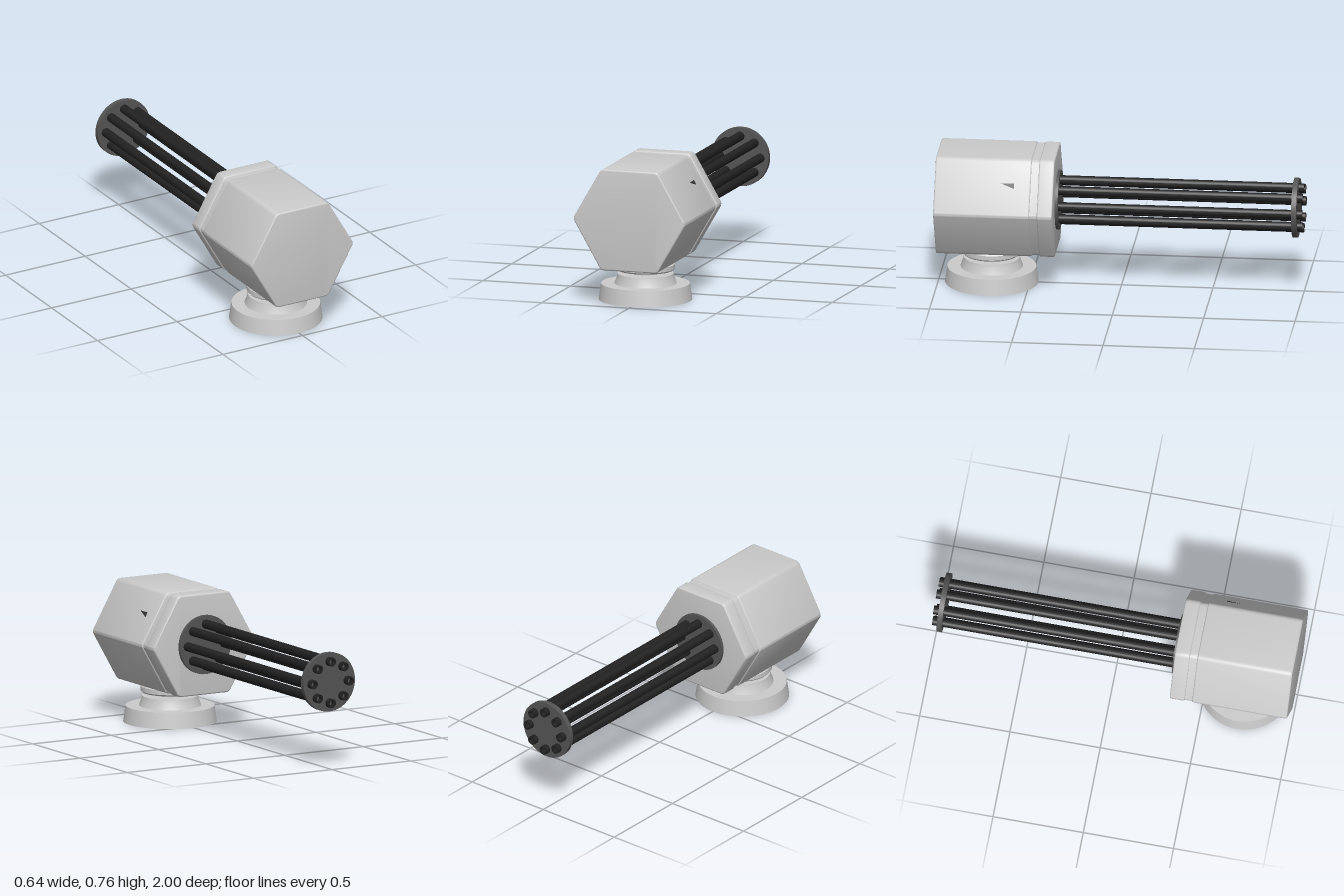
import * as THREE from 'three';
import { toCreasedNormals } from 'three/addons/utils/BufferGeometryUtils.js';

const AXIS_Y = 0.48; // height of the barrel axis
const BASE_Z = 0.71; // centre of the pedestal
const grey = new THREE.MeshStandardMaterial({ color: 0xcccccc });
const steel = new THREE.MeshStandardMaterial({ color: 0x555555 });
const black = new THREE.MeshStandardMaterial({ color: 0x222222 });
const blackThin = new THREE.MeshStandardMaterial({ color: 0x333333, side: THREE.DoubleSide });

function add(parent, name, geometry, material, x = 0, y = 0, z = 0) {
  const mesh = new THREE.Mesh(geometry, material);
  mesh.name = name;
  mesh.position.set(x, y, z);
  parent.add(mesh);
  return mesh;
}

// Hexagon with flat top and rounded corners
function hexagon(apothem, tangent = 0.02) {
  const R = apothem / Math.cos(Math.PI / 6);
  const corner = (i) => new THREE.Vector2(Math.cos(i * Math.PI / 3), Math.sin(i * Math.PI / 3)).multiplyScalar(R);
  const shape = new THREE.Shape();
  for (let i = 0; i < 6; i++) {
    const c = corner(i);
    const a = c.clone().lerp(corner(i - 1), tangent / R);
    const b = c.clone().lerp(corner(i + 1), tangent / R);
    if (i === 0) shape.moveTo(a.x, a.y);
    else shape.lineTo(a.x, a.y);
    shape.quadraticCurveTo(c.x, c.y, b.x, b.y);
  }
  shape.closePath();
  return shape;
}

// Hexagonal block between z0 and z1 with softly rounded ends
function hexBlock(apothem, z0, z1, bevel) {
  const geometry = new THREE.ExtrudeGeometry(hexagon(apothem), {
    depth: z1 - z0 - 2 * bevel, curveSegments: 5, bevelEnabled: bevel > 0,
    bevelSize: bevel, bevelThickness: bevel, bevelOffset: -bevel, bevelSegments: 3,
  });
  geometry.translate(0, 0, z0 + bevel);
  return toCreasedNormals(geometry, 0.6);
}

// Turned part from [radius, height] pairs
function turned(points, segments = 64) {
  const geometry = new THREE.LatheGeometry(points.map(([r, h]) => new THREE.Vector2(r, h)), segments);
  return toCreasedNormals(geometry, 0.5);
}

export function createModel() {
  const model = new THREE.Group();
  model.name = 'rotaryTurret';

  // Pedestal: flared foot, collar, neck and mounting plate
  const pedestal = new THREE.Group();
  pedestal.name = 'pedestal';
  pedestal.position.z = BASE_Z;
  model.add(pedestal);
  add(pedestal, 'foot', turned([[0, 0], [0.255, 0], [0.242, 0.088], [0, 0.088]]), grey);
  add(pedestal, 'collar', turned([[0.171, 0.086], [0.156, 0.125], [0.153, 0.143], [0, 0.143]]), grey);
  add(pedestal, 'neck', new THREE.CylinderGeometry(0.075, 0.075, 0.04, 48), grey, 0, 0.153, 0);
  add(pedestal, 'mountingPlate', turned([[0, 0.162], [0.153, 0.162], [0.161, 0.17], [0.161, 0.195], [0.154, 0.204], [0, 0.204]]), grey);

  // Housing: main block, recessed band and rear cap
  const housing = new THREE.Group();
  housing.name = 'housing';
  housing.position.y = AXIS_Y;
  model.add(housing);
  add(housing, 'housingBlock', hexBlock(0.28, 0.474, 1, 0.008), grey);
  add(housing, 'recessedBand', hexBlock(0.274, 0.42, 0.49, 0), grey);
  add(housing, 'rearCap', hexBlock(0.28, 0.35, 0.434, 0.008), grey);

  // Small wedge-shaped mark on the upper left panel
  const panelPoint = (y, z) => [0.3245 - y / Math.sqrt(3), y, z];
  const mark = new THREE.BufferGeometry();
  mark.setAttribute('position', new THREE.Float32BufferAttribute(
    [...panelPoint(0.164, 0.64), ...panelPoint(0.139, 0.565), ...panelPoint(0.164, 0.565)], 3));
  mark.computeVertexNormals();
  add(housing, 'panelMark', mark, blackThin);

  // Barrel cluster: two plates and a ring of eight hollow barrels
  const cluster = new THREE.Group();
  cluster.name = 'barrelCluster';
  cluster.position.y = AXIS_Y;
  model.add(cluster);
  const plate = (thickness) => new THREE.CylinderGeometry(0.163, 0.163, thickness, 48).rotateX(Math.PI / 2);
  add(cluster, 'rootPlate', plate(0.024), steel, 0, 0, 0.346);
  add(cluster, 'muzzlePlate', plate(0.028), steel, 0, 0, -0.957);
  const barrel = turned([[0.025, 0], [0.025, 1.345], [0.015, 1.345], [0.015, 1.28], [0, 1.28]], 20);
  barrel.rotateX(-Math.PI / 2);
  for (let i = 0; i < 8; i++) {
    const a = i * Math.PI / 4;
    add(cluster, 'barrel' + (i + 1), barrel, black, 0.115 * Math.cos(a), 0.115 * Math.sin(a), 0.345);
  }
  return model;
}
